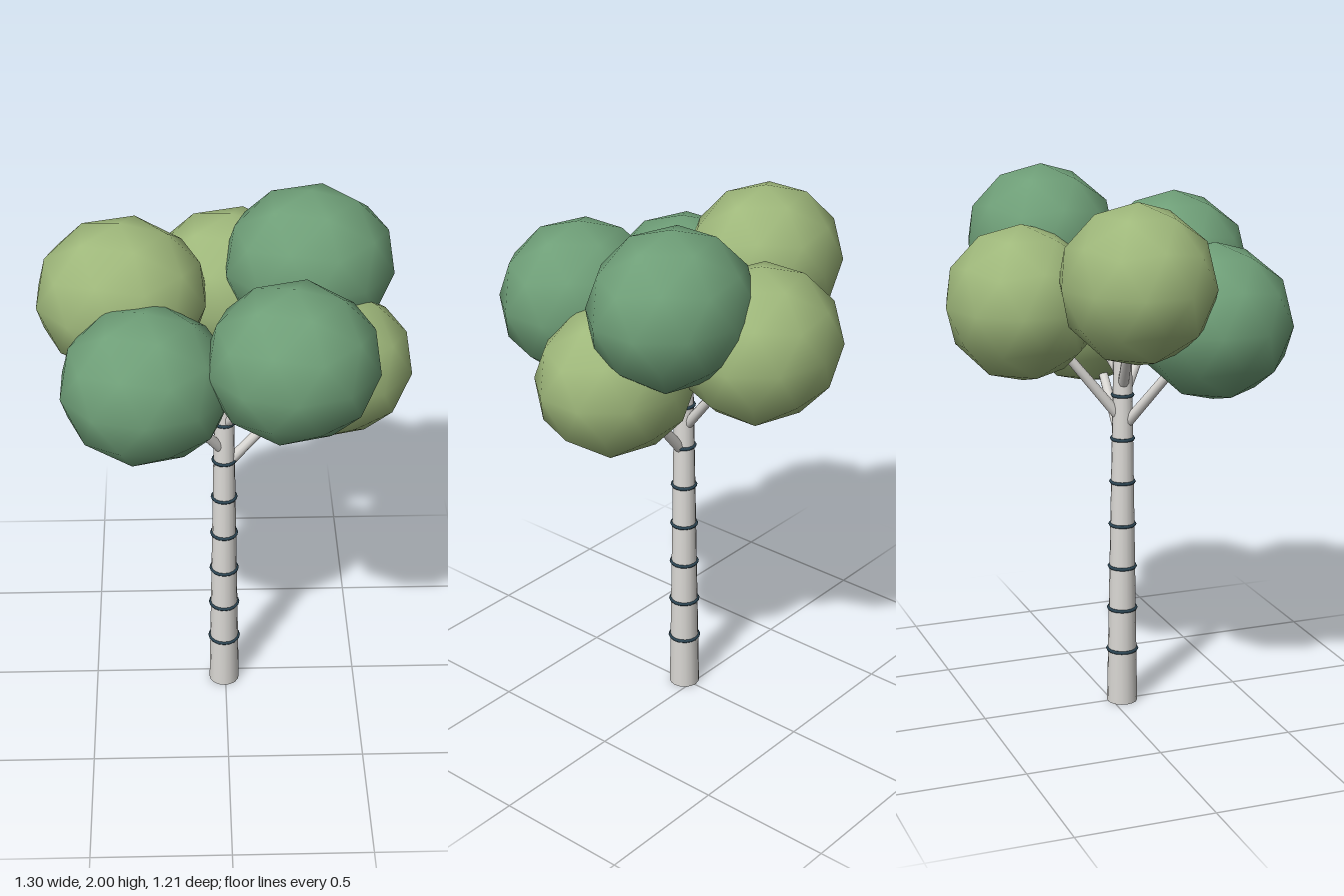
import * as THREE from 'three';
import { mergeVertices } from 'three/addons/utils/BufferGeometryUtils.js';

const material = (name, color) => {
  const m = new THREE.MeshStandardMaterial({ color });
  m.name = name;
  return m;
};

// Tapered pole whose caps share smooth normals with the sides
function softPole(rTop, rBottom, height, sides) {
  const g = new THREE.CylinderGeometry(rTop, rBottom, height, sides);
  g.deleteAttribute('uv');
  g.deleteAttribute('normal');
  const merged = mergeVertices(g, 1e-4);
  merged.computeVertexNormals();
  return merged;
}

export function createModel() {
  const bark = material('pale bark', 0xdcdad6);
  const band = material('dark band', 0x2b4452);
  const lightLeaf = material('light leaves', 0x9fb87b);
  const darkLeaf = material('dark leaves', 0x6f9f78);

  const tree = new THREE.Group();
  tree.name = 'tree';
  const add = (name, geometry, mat, parent = tree) => {
    const mesh = new THREE.Mesh(geometry, mat);
    mesh.name = name;
    parent.add(mesh);
    return mesh;
  };

  // Trunk
  const axisX = -0.005, axisZ = 0.04, height = 1.5;
  const radiusAt = (y) => 0.057 - 0.0175 * y;
  add('trunk', softPole(radiusAt(height), radiusAt(0), height, 16), bark)
    .position.set(axisX, height / 2, axisZ);

  // Dark bands round the trunk
  for (let i = 0; i < 7; i++) {
    const y = 0.208 + i * 0.164;
    const ring = add('trunkBand', new THREE.TorusGeometry(radiusAt(y) + 0.001, 0.0065, 6, 16), band);
    ring.rotation.x = Math.PI / 2;
    ring.position.set(axisX, y, axisZ);
  }

  // Leaf ball: a coarse icosphere with one corner straight up
  const ball = new THREE.IcosahedronGeometry(1, 1);
  ball.rotateX(-Math.atan2(1 + Math.sqrt(5), 2));
  ball.rotateY(Math.PI / 2);

  // Each entry: centre, radii, leaf colour, height where its branch leaves the trunk
  const crowns = [
    [[0.219, 1.61, 0.326], [0.302, 0.28, 0.278], darkLeaf, 1.2],
    [[-0.277, 1.5, 0.278], [0.3, 0.28, 0.278], darkLeaf, 1.09],
    [[0.298, 1.72, -0.164], [0.308, 0.28, 0.276], darkLeaf, 1.28],
    [[-0.359, 1.667, -0.04], [0.306, 0.28, 0.272], lightLeaf, 1.24],
    [[0.362, 1.43, 0.033], [0.3, 0.27, 0.27], lightLeaf, 1.02],
    [[0.026, 1.55, -0.328], [0.306, 0.28, 0.277], lightLeaf, 1.12],
  ];
  const up = new THREE.Vector3(0, 1, 0);
  for (const [centre, radii, leaf, startY] of crowns) {
    const bough = new THREE.Group();
    bough.name = 'bough';
    tree.add(bough);

    const foliage = add('foliage', ball, leaf, bough);
    foliage.position.set(...centre);
    foliage.scale.set(...radii);

    // Branch from just inside the bark to the middle of the foliage
    const end = new THREE.Vector3(...centre);
    const start = new THREE.Vector3(axisX, startY, axisZ);
    const out = end.clone().sub(start).setY(0).normalize();
    start.addScaledVector(out, 0.02);
    const along = end.clone().sub(start);
    const branch = add('branch', softPole(0.014, 0.02, along.length(), 10), bark, bough);
    branch.position.copy(start).addScaledVector(along, 0.5);
    branch.quaternion.setFromUnitVectors(up, along.normalize());
  }
  return tree;
}
